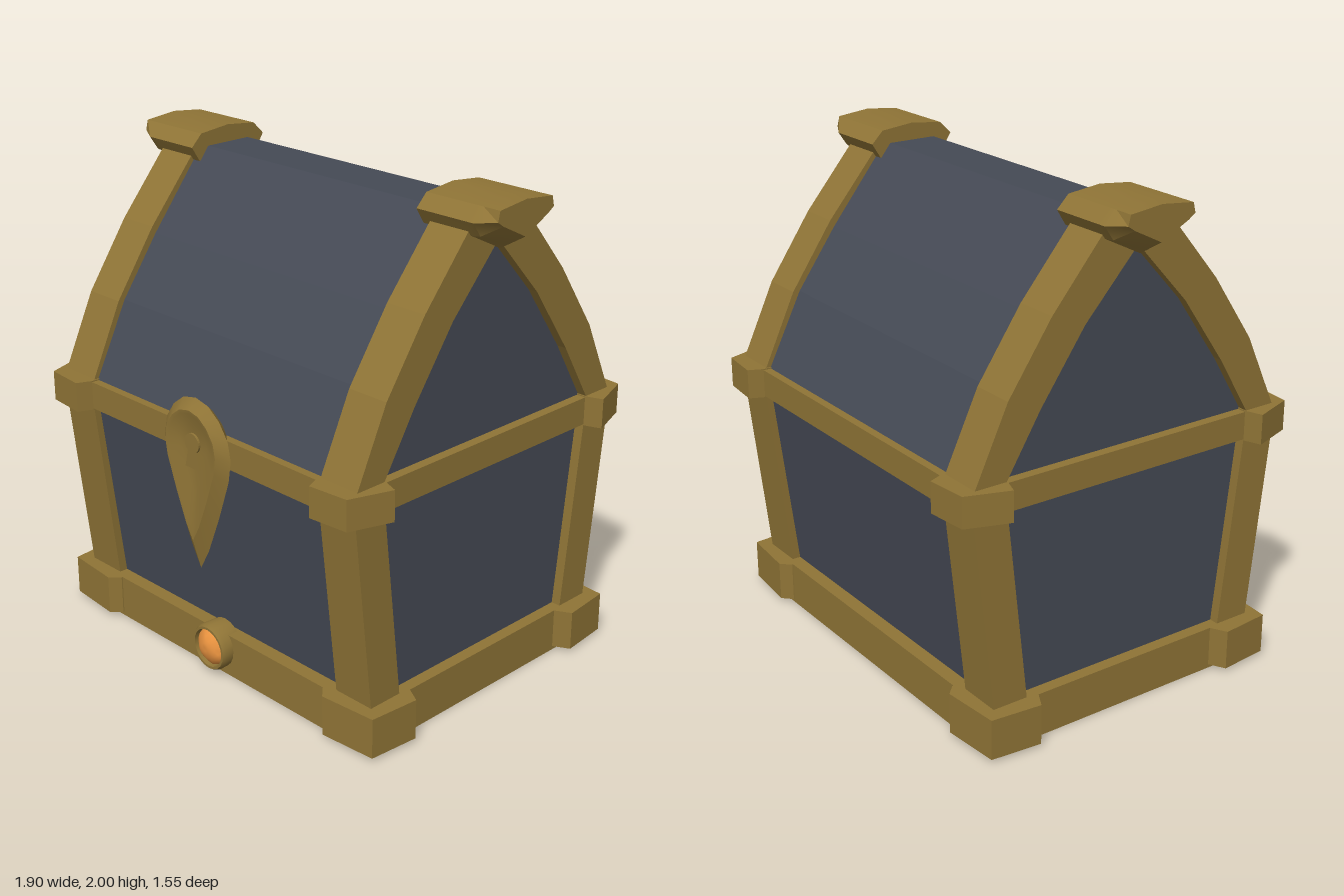
import * as THREE from 'three';
import { toCreasedNormals } from 'three/addons/utils/BufferGeometryUtils.js';

const gold = new THREE.MeshStandardMaterial({ color: 0x8f7436 });
const slate = new THREE.MeshStandardMaterial({ color: 0x454a55 });
const orange = new THREE.MeshStandardMaterial({ color: 0xe8923f });

const shapeOf = (pts) => new THREE.Shape(pts.map(([a, b]) => new THREE.Vector2(a, b)));

// Extrude a (z, y) profile along x from x0 to x1
function alongX(pts, x0, x1) {
  const g = new THREE.ExtrudeGeometry(shapeOf(pts), { depth: x1 - x0, bevelEnabled: false });
  return g.rotateY(-Math.PI / 2).translate(x1, 0, 0);
}

// Extrude an (x, z) plan upward from y0 to y1
function alongY(pts, y0, y1, hole) {
  const s = shapeOf(pts);
  if (hole) s.holes.push(shapeOf(hole));
  const g = new THREE.ExtrudeGeometry(s, { depth: y1 - y0, bevelEnabled: false });
  return g.rotateX(Math.PI / 2).translate(0, y1, 0);
}

// Skin closed rings of equal length, closing both ends with fans.
// Rings run counter-clockwise as seen from the end they advance towards.
function loft(rings, crease) {
  const n = rings[0].length, pos = [];
  const tri = (...v) => v.forEach((p) => pos.push(...p));
  const mid = (r) => [0, 1, 2].map((k) => r.reduce((t, p) => t + p[k], 0) / n);
  const first = rings[0], last = rings[rings.length - 1];
  for (let j = 0; j < n; j++) {
    const k = (j + 1) % n;
    for (let i = 0; i < rings.length - 1; i++) {
      const a = rings[i], b = rings[i + 1];
      tri(a[j], a[k], b[k]);
      tri(a[j], b[k], b[j]);
    }
    tri(mid(first), first[k], first[j]);
    tri(mid(last), last[j], last[k]);
  }
  const g = new THREE.BufferGeometry();
  g.setAttribute('position', new THREE.Float32BufferAttribute(pos, 3));
  g.computeVertexNormals();
  return toCreasedNormals(g, crease);
}

const mirrored = (half) => [...half, ...half.filter((p) => p[0] !== 0).reverse().map(([z, y]) => [-z, y])];
const rect = (x, z) => [[-x, -z], [x, -z], [x, z], [-x, z]];

export function createModel() {
  const root = new THREE.Group();
  const add = (name, geometry, material = gold) => {
    const m = new THREE.Mesh(geometry, material);
    m.name = name;
    root.add(m);
    return m;
  };

  // Dark panels: flared box and pointed lid
  add('boxPanels', alongX(mirrored([[0.57, 0.05], [0.685, 1.0]]), -0.79, 0.79), slate);
  add('lidPanels', alongX(mirrored([[0.70, 1.03], [0.53, 1.37], [0.36, 1.61], [0.105, 1.93]]), -0.79, 0.79), slate);

  // Base frame with recessed floor, and the band under the lid
  add('baseFrame', alongY(rect(0.84, 0.645), 0, 0.18, rect(0.66, 0.48)));
  add('floorPanel', alongY(rect(0.68, 0.5), 0.03, 0.06), slate);
  add('rimBand', alongY(rect(0.83, 0.715), 0.955, 1.068));

  // Corner posts and corner brackets
  const baseCorner = [[0.6, 0.6], [0.605, 0.65], [0.645, 0.69], [0.885, 0.67], [0.905, 0.46], [0.84, 0.425], [0.78, 0.425]];
  const rimCorner = [[0.64, 0.6], [0.645, 0.715], [0.67, 0.775], [0.84, 0.76], [0.9, 0.585], [0.83, 0.56], [0.78, 0.56]];
  for (const sx of [1, -1]) for (const sz of [1, -1]) {
    const flip = (pts) => pts.map(([x, z]) => [x * sx, z * sz]);
    const [x0, x1] = sx > 0 ? [0.65, 0.83] : [-0.83, -0.65];
    const post = [[0.465, 0.12], [0.615, 0.12], [0.712, 1.0], [0.565, 1.0]];
    add('cornerPost', alongX(post.map(([z, y]) => [z * sz, y]), x0, x1));
    add('baseCorner', alongY(flip(baseCorner), 0.015, 0.18));
    add('rimCorner', alongY(flip(rimCorner), 0.95, 1.073));
  }

  // Curved lid ribs at both ends
  const ribOuter = [[0.715, 1.04], [0.56, 1.37], [0.375, 1.64], [0.13, 1.93]];
  const ribInner = [[0.585, 1.04], [0.42, 1.31], [0.23, 1.58], [0, 1.83]];
  const rib = [...mirrored(ribOuter), ...mirrored(ribInner).reverse()];
  for (const [x0, x1] of [[0.65, 0.83], [-0.83, -0.65]]) add('lidRib', alongX(rib, x0, x1));

  // Ridge caps with a pointed, undercut outer end
  const capRing = (x, side, sideY, low, bottom) => [
    [x, 2.0, 0], [x, 1.985, -0.14], [x, sideY, -side], [x, low, -side * 0.8],
    [x, bottom, 0], [x, low, side * 0.8], [x, sideY, side], [x, 1.985, 0.14],
  ].reverse();
  for (const turn of [0, Math.PI]) {
    const cap = loft([
      capRing(0.61, 0.19, 1.935, 1.875, 1.80),
      capRing(0.84, 0.19, 1.935, 1.875, 1.80),
      capRing(0.875, 0.19, 1.935, 1.88, 1.82),
      capRing(0.95, 0.15, 1.945, 1.925, 1.865),
    ].map((r) => r.reverse().map(([x, y, z]) => [x, y, -z]).map(([x, y, z]) => [x, y, z])), 0.4);
    add('ridgeCap', cap.rotateY(turn));
  }

  // Teardrop lock plate with a dished face
  const right = [[0, 0.17], [0.07, 0.155], [0.13, 0.11], [0.175, 0.045], [0.19, -0.03], [0.175, -0.12], [0.115, -0.29], [0.05, -0.45], [0, -0.54]];
  const drop = mirrored(right).reverse();
  const dropRing = (s, z) => drop.map(([x, y]) => [x * s, 1.02 + y * s, z]);
  add('lockPlate', loft([
    dropRing(0.75, 0.675), dropRing(1, 0.715), dropRing(0.76, 0.752), dropRing(0.68, 0.75), dropRing(0.4, 0.733),
  ], 0.45));

  // Keyhole
  const key = new THREE.Shape();
  key.moveTo(-0.04, 0.91);
  key.lineTo(0.04, 0.91);
  key.lineTo(0.022, 0.98);
  key.absarc(0, 1.012, 0.04, -0.95, Math.PI + 0.95, false);
  key.closePath();
  add('keyhole', new THREE.ExtrudeGeometry(key, { depth: 0.02, bevelEnabled: false, curveSegments: 10 }).translate(0, 0, 0.722));

  // Round setting and uneven gem on the base
  const setting = [[0.095, 0.6], [0.097, 0.68], [0.09, 0.695], [0.08, 0.695], [0.074, 0.66]];
  const ring = new THREE.LatheGeometry(setting.map(([r, h]) => new THREE.Vector2(r, h)), 20);
  const ringMesh = add('gemSetting', toCreasedNormals(ring.rotateX(Math.PI / 2), 0.6).translate(0, 0.115, 0), gold.clone());
  ringMesh.material.side = THREE.DoubleSide;
  const gem = new THREE.IcosahedronGeometry(0.079, 4);
  const p = gem.attributes.position, v = new THREE.Vector3();
  for (let i = 0; i < p.count; i++) {
    v.fromBufferAttribute(p, i);
    v.multiplyScalar(1 + 0.035 * Math.sin(v.x * 70 + 1) * Math.sin(v.y * 60) + 0.02 * Math.sin(v.z * 80));
    p.setXYZ(i, v.x, v.y, v.z * 0.7);
  }
  add('gem', toCreasedNormals(gem, 0.5).translate(0, 0.115, 0.657), orange);

  return root;
}
